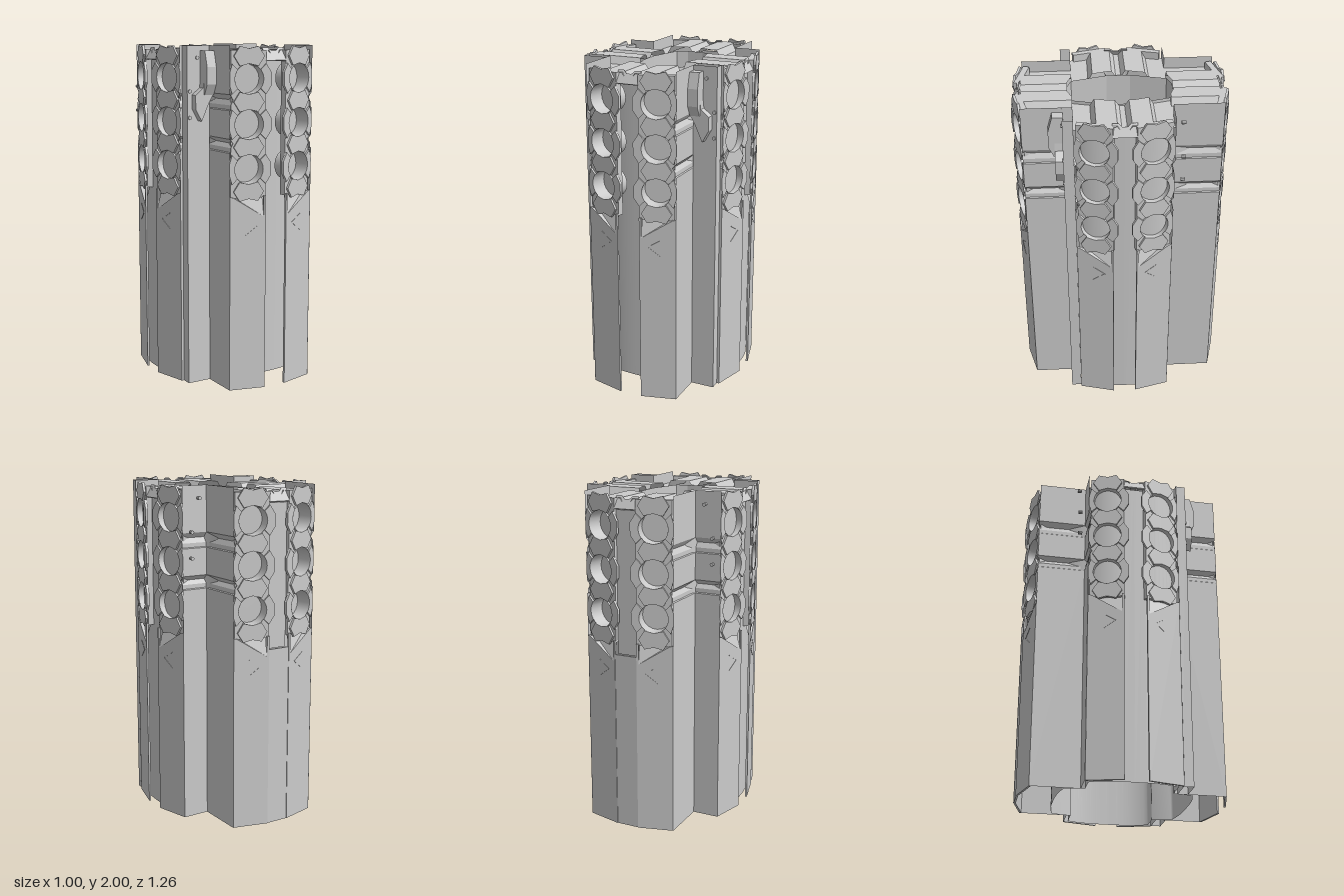
import * as THREE from 'three';

const mat = new THREE.MeshStandardMaterial({ color: 0xcccccc, flatShading: true, side: THREE.DoubleSide });
const smooth = new THREE.MeshStandardMaterial({ color: 0xcccccc, side: THREE.DoubleSide });

const HALF = 0.28;                 // half width of every arm
const SLOT = 0.07;                 // half width of the slot in each arm
const RISE = 0.055;                // how far the panels slant outward
const TILT = Math.atan2(RISE, HALF - SLOT);
const HOLE_R = 0.085;
const HOLE_Y = [1.305, 1.56, 1.815];

function add(parent, name, geo, material = mat) {
  const mesh = new THREE.Mesh(geo, material);
  mesh.name = name;
  parent.add(mesh);
  return mesh;
}

// Quad strip between two equally long lists of points
function ribbon(a, b) {
  const pos = [], idx = [];
  a.forEach((p, i) => {
    pos.push(...p, ...b[i]);
    if (i) idx.push(2 * i - 2, 2 * i - 1, 2 * i, 2 * i, 2 * i - 1, 2 * i + 1);
  });
  const g = new THREE.BufferGeometry();
  g.setAttribute('position', new THREE.Float32BufferAttribute(pos, 3));
  g.setIndex(idx);
  g.computeVertexNormals();
  return g;
}

// Upright wall over a plan outline of [x, z] points
function wall(plan, y0, y1) {
  return ribbon(plan.map(([x, z]) => [x, y0, z]), plan.map(([x, z]) => [x, y1, z]));
}

function slab(points, z, depth, holes = []) {
  const shape = new THREE.Shape(points.map(p => new THREE.Vector2(...p)));
  for (const y of holes) shape.holes.push(new THREE.Path().absarc(0, y, HOLE_R, 0, Math.PI * 2, true));
  const g = new THREE.ExtrudeGeometry(shape, { depth, bevelEnabled: false, curveSegments: 20 });
  return g.translate(0, 0, z);
}

// Raised plate beside a hole: an arc on the hole side, a blunt point outside
function sidePlate(sign, reach, y) {
  const pts = [];
  for (let i = -3; i <= 3; i++) {
    const t = i * 0.22;
    pts.push([sign * Math.cos(t) * HOLE_R, y + Math.sin(t) * HOLE_R]);
  }
  pts.push([sign * 0.1, y + 0.085], [sign * reach, y + 0.035],
    [sign * reach, y - 0.035], [sign * 0.1, y - 0.085]);
  return slab(pts, -0.015, 0.015);
}

// One slanted half of an arm's outer face
function facePanel() {
  const g = new THREE.Group();
  g.name = 'facePanel';
  const L = -0.103, R = 0.113, T = -0.09;
  add(g, 'lowerPanel', slab([[L, 0], [R, 0], [R, 1.15], [0.093, 1.145], [T, 1.03], [T, 1.15], [L, 1.15]], -0.012, 0.012));
  add(g, 'triangleRecess', ribbon([[0.093, 1.145, 0], [T, 1.03, 0]], [[0.093, 1.15, -0.035], [T, 1.15, -0.035]]));
  add(g, 'upperPanel', slab([[L, 1.14], [0.105, 1.14], [0.105, 1.975], [L, 1.975]], -0.05, 0.037, HOLE_Y));
  // Chevron mark
  add(g, 'chevron', slab([[0.02, 1.02], [-0.055, 0.975], [0.02, 0.92], [0.02, 0.924], [-0.048, 0.975], [0.02, 1.016]], 0, 0.002));
  // Hexagonal plates above and below the holes
  for (let i = 0; i < 4; i++) {
    const y = 1.1775 + i * 0.255;
    add(g, 'hexPlate', slab([[-0.09, y], [-0.055, y - 0.055], [0, y - 0.042], [0.055, y - 0.055],
      [0.09, y], [0.055, y + 0.055], [0, y + 0.042], [-0.055, y + 0.055]], -0.015, 0.015));
  }
  for (const y of HOLE_Y) {
    add(g, 'innerSidePlate', sidePlate(-1, 0.132, y));
    add(g, 'outerSidePlate', sidePlate(1, 0.115, y));
    // Recessed socket behind each hole
    const tube = new THREE.CylinderGeometry(HOLE_R, HOLE_R, 0.11, 20, 1, true).rotateX(Math.PI / 2);
    add(g, 'socketWall', tube, smooth).position.set(0, y, -0.055);
    add(g, 'socketBack', new THREE.CircleGeometry(HOLE_R, 20)).position.set(0, y, -0.09);
  }
  return g;
}

// Wall profile: [inset, height], with two horizontal V grooves and shallow steps below them
const WALL = [[0, 0], [0, 1.4], [0.006, 1.405], [0.006, 1.43], [0.022, 1.455], [0, 1.48],
  [0, 1.64], [0.006, 1.645], [0.006, 1.67], [0.022, 1.7], [0, 1.73], [0, 2]];

// Roof profile: [offset from the arm's centre line, height], grooved in the middle, low at the sides
const ROOF = [[0, 1.94], [0.015, 1.94], [0.04, 1.975], [0.05, 1.975], [0.07, 1.975], [0.115, 1.975],
  [0.155, 1.975], [0.18, 1.93], [0.28, 1.93]];

// One arm of the cross, facing +z; inner(s) is the edge beside the shaft
function arm(name, reach, inner) {
  const g = new THREE.Group();
  g.name = name;
  for (const side of [1, -1]) {
    const half = new THREE.Group();
    half.name = side > 0 ? 'leftHalf' : 'rightHalf';
    half.scale.x = side;
    const panel = facePanel();
    panel.position.set(0.17, 0, reach + RISE * 0.11 / (HALF - SLOT));
    panel.rotation.y = TILT;
    half.add(panel);
    add(half, 'armWall', ribbon(WALL.map(([d, y]) => [HALF - d, y, HALF - d]), WALL.map(([d, y]) => [HALF - d, y, reach])));
    add(half, 'roof', ribbon(
      ROOF.map(([s, y]) => [s, y, inner(s)]),
      ROOF.map(([s, y]) => [s, y, reach + (HALF - Math.max(s, 0.07)) * 0.26 - 0.03])));
    g.add(half);
  }
  // Sloped, notched cap at the head of the slot
  const cap = add(g, 'slotCap', slab([[-0.07, -0.04], [0.07, -0.04], [0.07, 0.04], [0.035, 0.04],
    [0.015, 0.02], [-0.015, 0.02], [-0.035, 0.04], [-0.07, 0.04]], -0.005, 0.01));
  cap.position.set(0, 1.95, reach + 0.02);
  cap.rotation.x = -0.5;
  return g;
}

// Rounded core outline, pulled in where it would cross the inner corners of the cross
function corePlan() {
  const plan = [];
  for (let i = 0; i <= 96; i++) {
    const t = i / 96 * Math.PI * 2;
    const c = Math.cos(t), s = Math.sin(t);
    const x = 0.45 * Math.sign(c) * Math.abs(c) ** (2 / 3);
    const z = 0.4 * Math.sign(s) * Math.abs(s) ** (2 / 3);
    plan.push([x, Math.abs(x) > 0.27 ? THREE.MathUtils.clamp(z, -0.255, 0.255) : z]);
  }
  return plan;
}

export function createModel() {
  const model = new THREE.Group();
  model.name = 'tower';

  // Four arms of the cross
  const innerZ = s => s < 0.05 ? 0.305 : Math.max(0.28, 0.305 - (s - 0.05) * 0.385);
  const innerX = s => s < 0.07 ? 0.17 : 0.17 - (s - 0.07) * 0.262;
  ['frontArm', 'leftArm', 'backArm', 'rightArm'].forEach((name, i) => {
    const a = i % 2 ? arm(name, 0.44, innerX) : arm(name, 0.57, innerZ);
    a.rotation.y = i * Math.PI / 2;
    model.add(a);
  });

  // Central shaft below the roof opening
  const quarter = [[0.05, 0.305], [0.115, 0.28], [0.17, 0.07]];
  const rev = [...quarter].reverse();
  const loop = [...quarter, ...rev.map(([x, z]) => [x, -z]),
    ...quarter.map(([x, z]) => [-x, -z]), ...rev.map(([x, z]) => [-x, z]), quarter[0]];
  add(model, 'shaft', wall(loop, 1.6, 1.95));

  // Rounded core seen through the slots
  add(model, 'core', wall(corePlan(), 0, 1.92), smooth);

  // Back slot: flush cover below, recessed plate above
  add(model, 'backSlotCover', new THREE.BoxGeometry(0.14, 1.07, 0.012)).position.set(0, 0.535, -0.616);
  add(model, 'backSlotPlate', new THREE.BoxGeometry(0.12, 0.84, 0.02)).position.set(0, 1.49, -0.59);

  for (const side of [1, -1]) {
    const g = new THREE.Group();
    g.name = side > 0 ? 'leftFittings' : 'rightFittings';
    g.scale.x = side;
    // Thin cover in the front corner
    add(g, 'cornerCover', wall([[0.28, 0.34], [0.425, 0.34]], 0, 2));
    add(g, 'coverEdge', wall([[0.425, 0.34], [0.425, 0.28]], 0, 2));
    // Angular bracket: slim lower hook and a thicker tapered head
    add(g, 'bracketHook', slab([[0.28, 1.9], [0.33, 1.9], [0.345, 1.76], [0.395, 1.72], [0.395, 1.64],
      [0.355, 1.57], [0.31, 1.67], [0.28, 1.72]], 0.34, 0.045));
    const head = slab([[0.33, 1.75], [0.39, 1.72], [0.42, 1.78], [0.42, 1.88], [0.395, 1.97], [0.335, 1.97]], 0, 0.06);
    add(g, 'bracketHead', head.rotateY(-Math.PI / 2)).position.x = 0.34;
    // Bolts
    for (const z of [0.335, -0.33])
      for (const [x, y] of [[0.36, 1.93], [0.41, 1.74], [0.41, 1.59]]) {
        const bolt = new THREE.CylinderGeometry(0.011, 0.011, 0.024, 8).rotateX(Math.PI / 2);
        add(g, 'bolt', bolt).position.set(x, y, z);
      }
    model.add(g);
  }
  return model;
}
